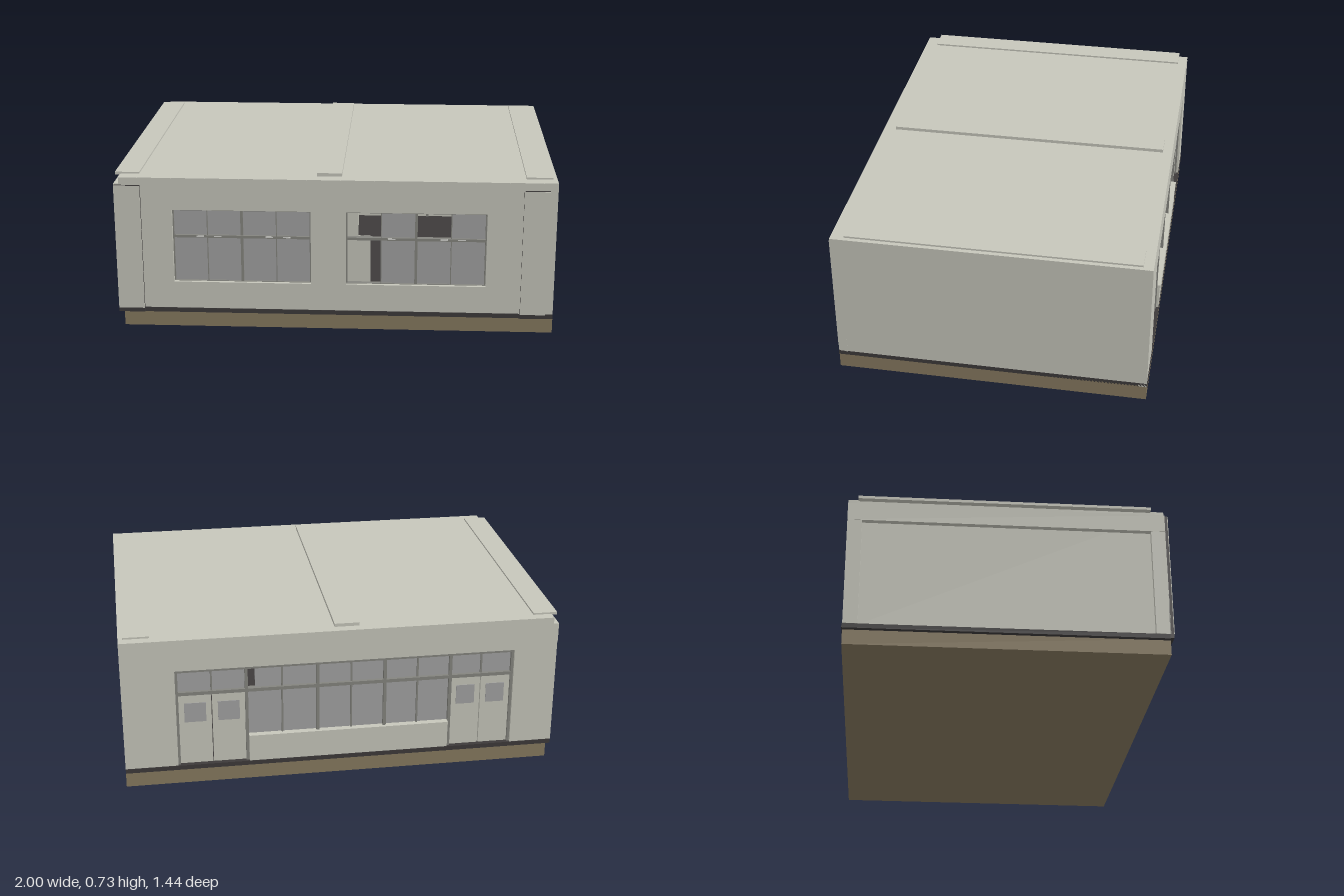
import * as THREE from 'three';

export function createModel() {
  const model = new THREE.Group();
  model.name = 'building';
  const material = (name, color) => {
    const m = new THREE.MeshStandardMaterial({ color });
    m.name = name;
    return m;
  };
  const wall = material('wall plaster', 0xc6c6bb);
  const stone = material('plinth stone', 0x86795f);
  const dark = material('dark trim', 0x3d3a3a);
  const glass = material('glass', 0xa2a2a2);
  const frame = material('window frame', 0x85857f);
  const light = material('light metal', 0xd4d4d0);

  // box given by its lower and upper limits
  function box(name, mat, x0, x1, y0, y1, z0, z1, parent = model) {
    const mesh = new THREE.Mesh(new THREE.BoxGeometry(x1 - x0, y1 - y0, z1 - z0), mat);
    mesh.position.set((x0 + x1) / 2, (y0 + y1) / 2, (z0 + z1) / 2);
    mesh.name = name;
    parent.add(mesh);
    return mesh;
  }

  // wall with rectangular openings [x0, x1, y0, y1]
  function piercedWall(name, openings, z, depth) {
    const rect = (p, x0, x1, y0, y1) =>
      p.moveTo(x0, y0).lineTo(x1, y0).lineTo(x1, y1).lineTo(x0, y1).closePath();
    const shape = rect(new THREE.Shape(), -0.972, 1, 0.07, 0.714);
    for (const o of openings) shape.holes.push(rect(new THREE.Path(), ...o));
    const mesh = new THREE.Mesh(new THREE.ExtrudeGeometry(shape, { depth, bevelEnabled: false }), wall);
    mesh.position.z = z;
    mesh.name = name;
    model.add(mesh);
  }

  // plinth and dark base course
  box('plinth', stone, -0.972, 1, 0, 0.075, -0.715, 0.705);
  box('baseCourse', dark, -0.992, 1, 0.069, 0.09, -0.718, 0.708);

  // shell
  const windows = [[-0.735, -0.105, 0.215, 0.565], [0.055, 0.69, 0.215, 0.565]];
  piercedWall('frontWall', windows, 0.665, 0.04);
  piercedWall('backWall', [[-0.795, 0.76, 0.085, 0.565]], -0.715, 0.04);
  box('leftWall', wall, 0.96, 0.9999, 0.08, 0.7, -0.68, 0.67);
  box('rightWall', wall, -0.9719, -0.93, 0.08, 0.7, -0.68, 0.67);
  box('roofSlab', wall, -0.9719, 0.9999, 0.67, 0.715, -0.7149, 0.7049);

  // roof strips
  for (const [x0, x1, top] of [[-0.998, -0.887, 0.723], [-0.08, 0.034, 0.73], [0.862, 0.98, 0.723]])
    box('roofStrip', wall, x0, x1, 0.71, top, -0.67, 0.645);

  // beam and corner posts on the right-hand side
  box('sideBeam', wall, -0.996, -0.97, 0.6, 0.685, -0.715, 0.704);
  box('sidePost', wall, -0.994, -0.97, 0.09, 0.6, -0.715, -0.65);
  box('sidePost', wall, -0.994, -0.97, 0.09, 0.6, 0.64, 0.704);

  // front pilasters with dark edges and pale faces
  for (const [x0, x1] of [[-0.994, -0.875], [0.85, 0.965]]) {
    box('pilasterEdge', dark, x0, x1, 0.07, 0.68, 0.7, 0.716);
    box('pilasterFace', wall, x0, x1, 0.09, 0.679, 0.715, 0.719);
  }

  // front windows: border, bars, panes and handles
  windows.forEach(([x0, x1, y0, y1], side) => {
    const g = new THREE.Group();
    g.name = side ? 'leftWindow' : 'rightWindow';
    model.add(g);
    const w = (x1 - x0) / 4, bar = 0.435;
    for (let i = 0; i <= 4; i++) {
      const t = i % 2 ? 0.002 : 0.006, x = x0 + i * w;
      box('upright', frame, x - t, x + t, y0, y1, 0.668, 0.69, g);
    }
    for (const y of [y0, bar, y1])
      box('crossbar', frame, x0, x1, y - 0.006, y + 0.006, 0.668, 0.692, g);
    box('sill', wall, x0, x1, y0 - 0.004, y0 + 0.004, 0.69, 0.708, g);
    for (let i = 0; i < 4; i++) {
      const a = x0 + i * w, b = a + w;
      const upperOpen = side && (i === 0 || i === 2), lowerOpen = side && i === 0;
      if (!upperOpen) box('upperPane', glass, a, b, bar, y1, 0.676, 0.68, g);
      if (!lowerOpen) box('lowerPane', glass, a, b, y0, bar, 0.676, 0.68, g);
      if (!lowerOpen) {
        const h = i % 2 ? a + 0.03 : b - 0.05;
        box('handle', light, h, h + 0.035, 0.434, 0.439, 0.69, 0.695, g);
      }
    }
  });

  // inner screens behind the open panes
  box('innerScreen', wall, 0.03, 0.11, 0.435, 0.6, 0.64, 0.646);
  box('innerScreen', wall, 0.03, 0.165, 0.08, 0.435, 0.64, 0.646);

  // back glazing: five bays, the outer two with double doors
  const posts = [-0.79, -0.5, -0.195, 0.115, 0.44, 0.755];
  const bar = 0.445, top = 0.565, sill = 0.215;
  const back = new THREE.Group();
  back.name = 'backGlazing';
  model.add(back);
  for (const x of posts) {
    const y0 = x === 0.115 || x === -0.195 ? sill : 0.085;
    box('post', frame, x - 0.007, x + 0.007, y0, top, -0.705, -0.675, back);
  }
  for (const y of [bar, top - 0.006])
    box('crossbar', frame, -0.79, 0.755, y - 0.008, y + 0.008, -0.705, -0.677, back);
  for (let i = 0; i < 5; i++) {
    const a = posts[i], b = posts[i + 1], mid = (a + b) / 2, door = i === 0 || i === 4;
    // the transom next to one door is left slightly open
    box('transomPane', glass, a, i === 3 ? b - 0.04 : b, bar, top, -0.69, -0.686, back);
    box('divider', frame, mid - 0.004, mid + 0.004, door ? bar : sill, top, -0.698, -0.68, back);
    if (!door) {
      box('lowerPane', glass, a, b, sill, bar, -0.69, -0.686, back);
      continue;
    }
    for (const [l, r] of [[a + 0.007, mid - 0.002], [mid + 0.002, b - 0.007]]) {
      box('doorLeaf', wall, l, r, 0.085, bar - 0.008, -0.695, -0.68, back);
      for (const z of [-0.698, -0.68])
        box('doorPane', glass, l + 0.025, r - 0.025, 0.3, 0.395, z, z + 0.003, back);
    }
  }
  // low wall and ledge under the back windows
  box('lowWall', wall, -0.493, 0.433, 0.08, sill - 0.008, -0.716, -0.676, back);
  box('ledge', wall, -0.493, 0.433, sill - 0.01, sill + 0.005, -0.72, -0.672, back);

  return model;
}
